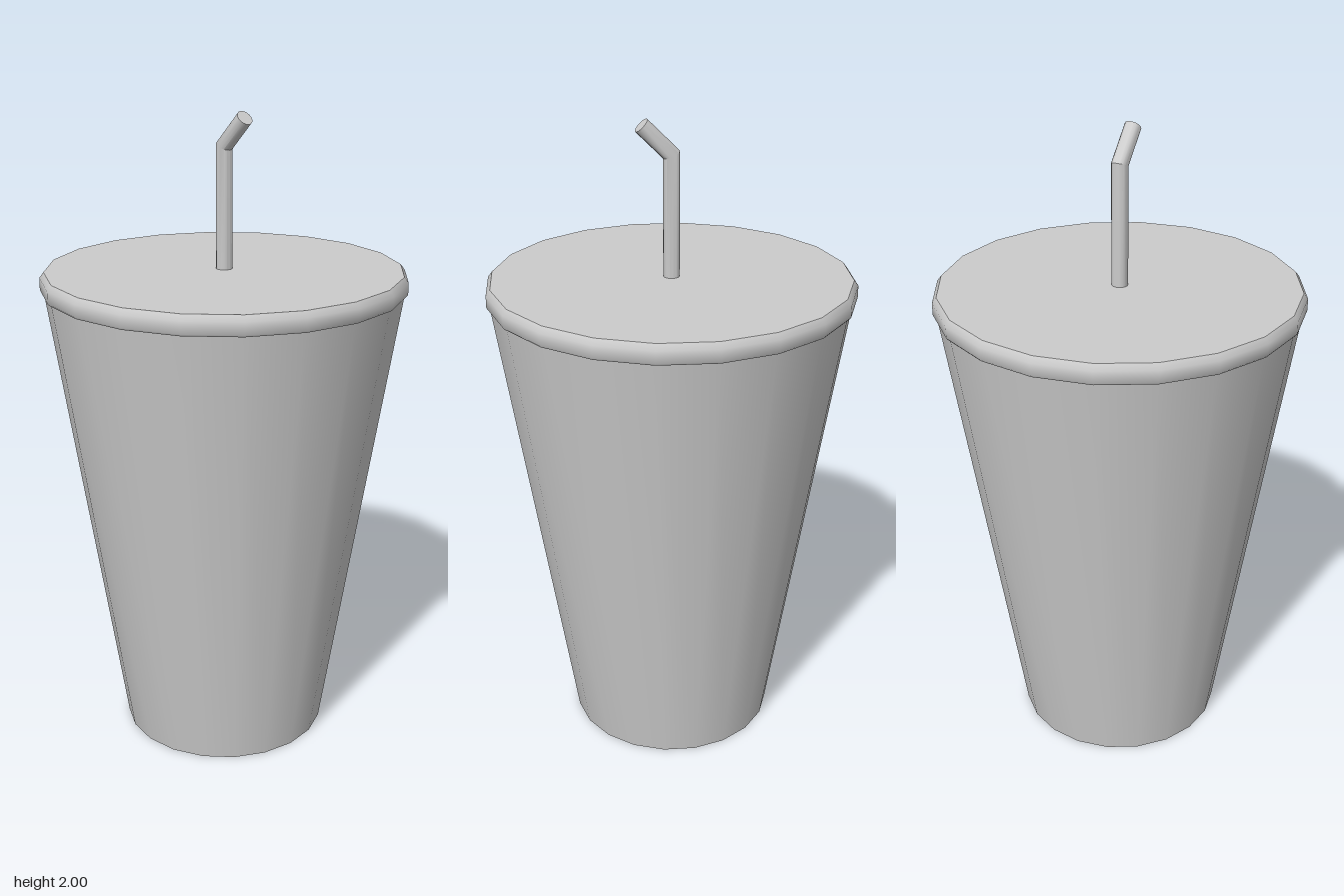
import * as THREE from 'three';
import { toCreasedNormals } from 'three/addons/utils/BufferGeometryUtils.js';

const SIDES = 20;

export function createModel() {
  const group = new THREE.Group();
  const material = new THREE.MeshStandardMaterial({ color: 0xcccccc });

  const add = (name, geometry) => {
    const mesh = new THREE.Mesh(geometry, material);
    mesh.name = name;
    group.add(mesh);
  };
  const lathe = (points) => toCreasedNormals(
    new THREE.LatheGeometry(points.map(([r, y]) => new THREE.Vector2(r, y)), SIDES), 0.75);

  // Tapered cup with a closed base
  add('cup', lathe([[0, 0], [0.325, 0], [0.55, 1.47]]));

  // Flat lid with a bevelled rim
  add('lid', lathe([
    [0, 1.465], [0.555, 1.465], [0.56, 1.471], [0.56, 1.508], [0.547, 1.525], [0, 1.525],
  ]));

  // Straw: a cylinder whose middle ring is mitred and top ring tilted forward
  const radius = 0.025, bend = Math.PI / 4, bendY = 1.893, tipLength = 0.126;
  const straw = new THREE.CylinderGeometry(radius, radius, 2, 16, 2);
  const pos = straw.attributes.position;
  for (let i = 0; i < pos.count; i++) {
    const y = pos.getY(i), z = pos.getZ(i);
    if (y < -0.5) {
      pos.setY(i, 1.5);
    } else if (y < 0.5) {
      pos.setY(i, bendY - z * Math.tan(bend / 2));
    } else {
      pos.setY(i, bendY + tipLength * Math.cos(bend) - z * Math.sin(bend));
      pos.setZ(i, tipLength * Math.sin(bend) + z * Math.cos(bend));
    }
  }
  add('straw', toCreasedNormals(straw, 0.6));

  return group;
}
